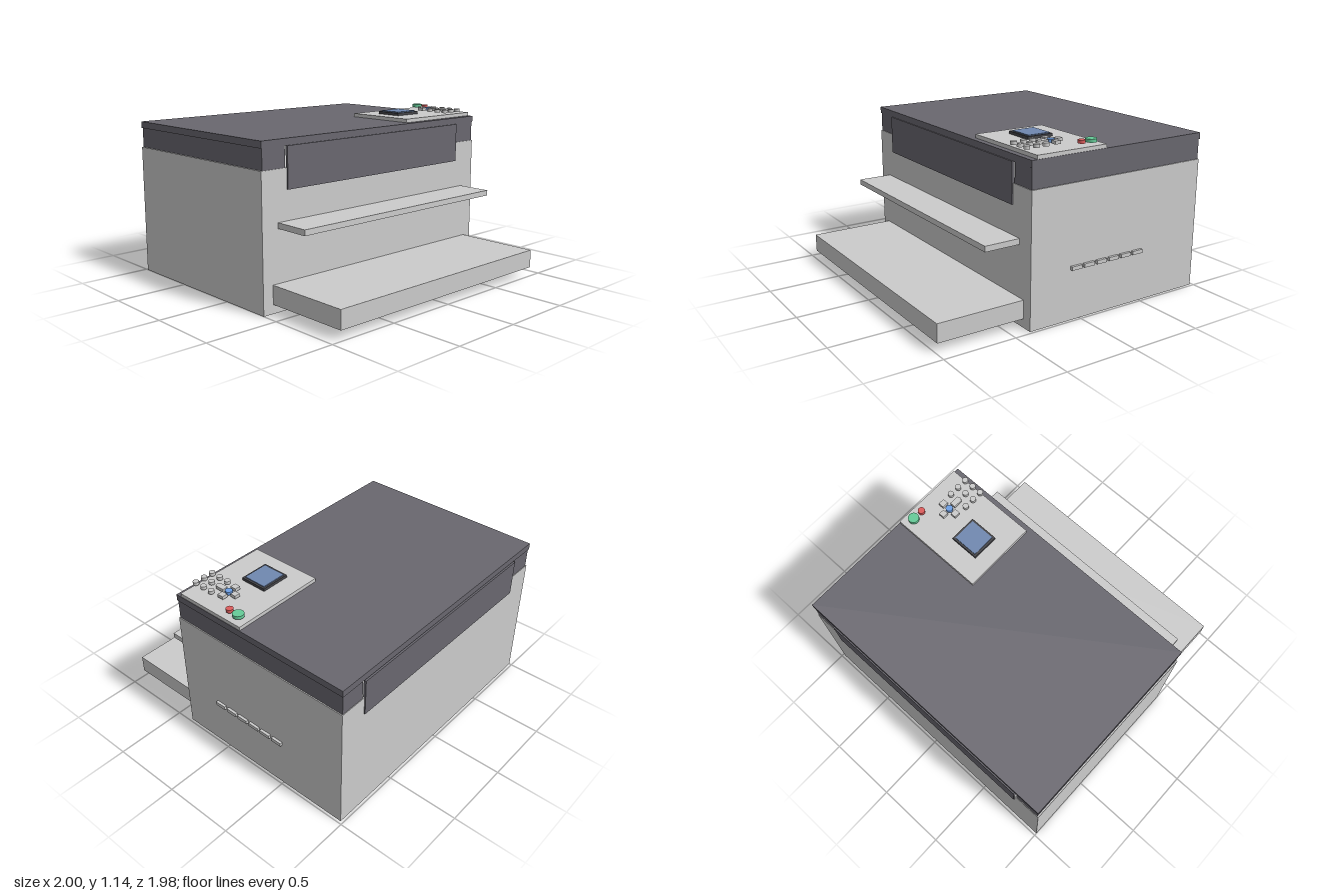
import * as THREE from 'three';

const mat = (color) => new THREE.MeshStandardMaterial({ color });

export function createModel() {
  const model = new THREE.Group();
  model.name = 'officePrinter';
  const grey = mat(0xcccccc), dark = mat(0x69676f), black = mat(0x444448);
  const screenBlue = mat(0x7088b0), green = mat(0x66cc99), red = mat(0xdd5c5c), blue = mat(0x6ea0e6);

  // Box from its extents on each axis
  const box = (name, [x0, x1], [y0, y1], [z0, z1], material, parent = model) => {
    const mesh = new THREE.Mesh(new THREE.BoxGeometry(x1 - x0, y1 - y0, z1 - z0), material);
    mesh.position.set((x0 + x1) / 2, (y0 + y1) / 2, (z0 + z1) / 2);
    mesh.name = name;
    parent.add(mesh);
  };

  // Housing
  const front = 0.382, back = -0.982;
  box('body', [-1, 0.982], [0, 0.9], [back, front], grey);

  // Scanner section: two side blocks below a full-width lid
  box('rightScannerBlock', [-0.99, -0.815], [0.9, 1.04], [back + 0.004, front - 0.004], dark);
  box('leftScannerBlock', [0.8, 0.975], [0.9, 1.04], [back + 0.004, front - 0.004], dark);
  box('lid', [-0.997, 0.98], [1.035, 1.08], [back, front], dark);
  box('frontPanel', [-0.803, 0.787], [0.765, 1.035], [front - 0.01, 0.39], dark);
  box('backPanel', [-0.803, 0.787], [0.775, 1.028], [-0.99, back + 0.01], dark);

  // Paper trays
  box('paperTray', [-0.925, 0.91], [0.06, 0.185], [front, 0.99], grey);
  box('outputTray', [-0.878, 0.862], [0.532, 0.57], [front, 0.63], grey);

  // Row of vents on the left side
  for (let i = 0; i < 6; i++) {
    const z = 0.04 - i * 0.1;
    box('sideVent', [0.975, 1], [0.34, 0.365], [z - 0.04, z + 0.04], grey);
  }

  // Control panel with screen
  const controls = new THREE.Group();
  controls.name = 'controls';
  model.add(controls);
  box('controlPanel', [0.303, 0.977], [1.08, 1.105], [-0.18, 0.342], grey, controls);
  box('screenBezel', [0.415, 0.622], [1.105, 1.124], [-0.035, 0.157], black, controls);
  box('screen', [0.43, 0.608], [1.11, 1.13], [-0.022, 0.143], screenBlue, controls);

  // Buttons sit just above the panel
  const y0 = 1.117, y1 = 1.139;
  const roundButton = (name, x, z, radius, material) => {
    const mesh = new THREE.Mesh(new THREE.CylinderGeometry(radius, radius, y1 - y0, 24), material);
    mesh.position.set(x, (y0 + y1) / 2, z);
    mesh.name = name;
    controls.add(mesh);
  };
  roundButton('startButton', 0.913, -0.107, 0.037, green);
  roundButton('stopButton', 0.913, -0.033, 0.024, red);
  roundButton('okButton', 0.787, 0.105, 0.024, blue);

  // Arrow keys around the ok button: x, z, half depth
  for (const [x, z, h] of [[0.787, 0.05, 0.02], [0.787, 0.17, 0.033], [0.732, 0.105, 0.022], [0.842, 0.105, 0.022]]) {
    box('arrowButton', [x - 0.02, x + 0.02], [y0, y1], [z - h, z + h], grey, controls);
  }

  // Number keys
  for (let row = 0; row < 3; row++) {
    for (let col = 0; col < 3; col++) {
      roundButton('numberKey', 0.718 + col * 0.069, 0.192 + row * 0.07, 0.02, grey);
    }
  }

  return model;
}
